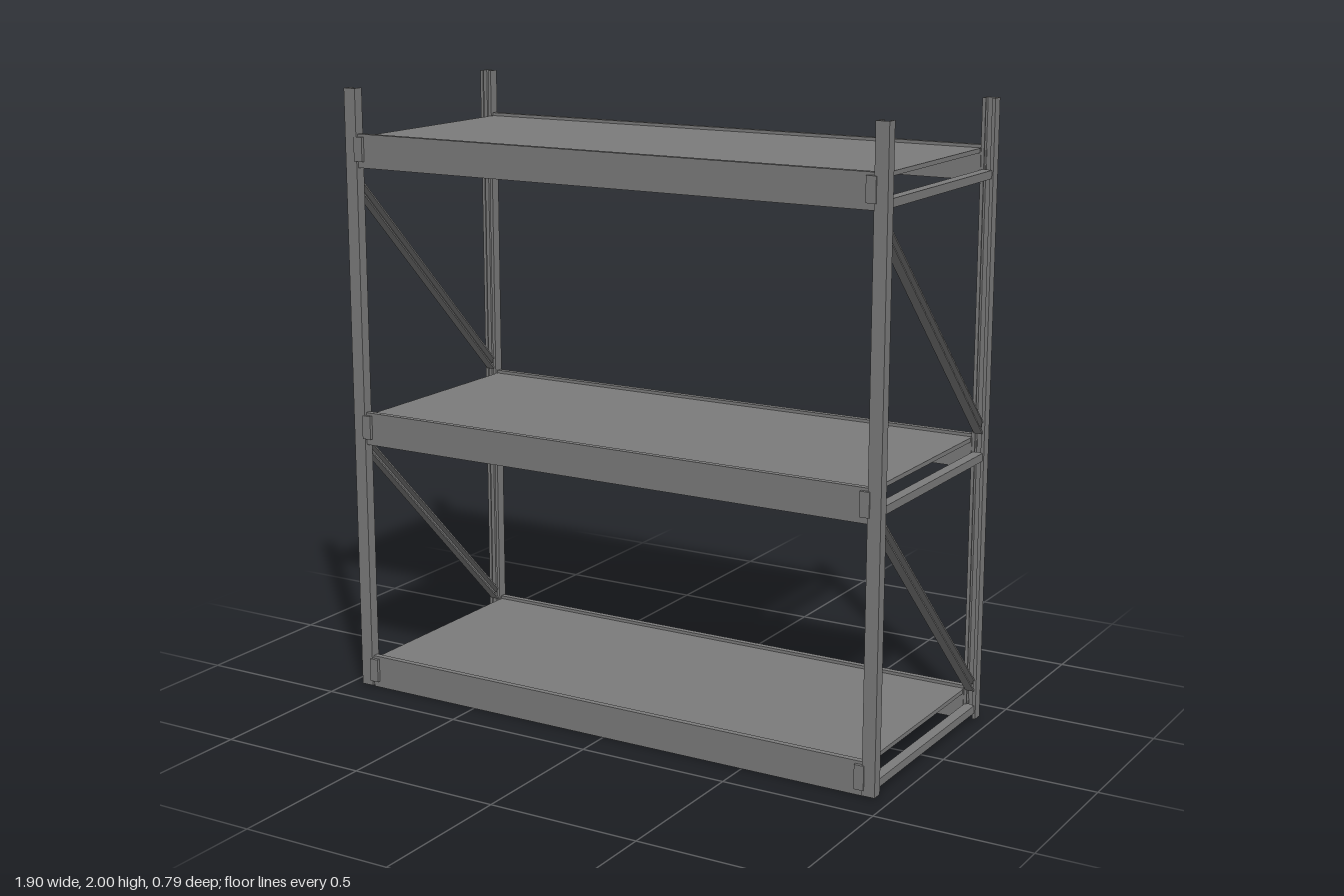
import * as THREE from 'three';

const material = new THREE.MeshStandardMaterial({ color: 0x7b7b7b });

function add(parent, name, geometry, x = 0, y = 0, z = 0) {
  const mesh = new THREE.Mesh(geometry, material);
  mesh.name = name;
  mesh.position.set(x, y, z);
  parent.add(mesh);
  return mesh;
}

// Extrudes a closed outline along z
function extrude(points, length) {
  const shape = new THREE.Shape(points.map(([x, y]) => new THREE.Vector2(x, y)));
  return new THREE.ExtrudeGeometry(shape, { depth: length, bevelEnabled: false });
}

// Channel of width w and depth d, web at y = 0, open towards +y, with optional inner lips
function channel(w, d, t, lip, length) {
  const h = w / 2;
  const edge = lip > 0 ? [[h - lip, d], [h - lip, d - t], [h - t, d - t]] : [[h - t, d]];
  const right = [[h, 0], [h, d], ...edge, [h - t, t]];
  const left = right.map(([x, y]) => [-x, y]).reverse();
  return extrude([...right, ...left], length);
}

const HALF_X = 0.931;  // centre line of the uprights
const POST_Z = 0.391;  // outer face of the uprights
const LEVELS = [0, 0.838, 1.748]; // underside of each shelf level
const BEAM_H = 0.108;
const OUTWARD = new THREE.Vector3(1, 0, 0);
const DOWN = new THREE.Vector3(0, -1, 0);

// Channel brace between two (y, z) points in a side frame, open towards a direction
function brace(parent, name, x, [y0, z0], [y1, z1], width, depth, open) {
  const a = new THREE.Vector3(x, y0, z0);
  const b = new THREE.Vector3(x, y1, z1);
  const geometry = channel(width, depth, 0.005, 0, a.distanceTo(b));
  geometry.translate(0, -depth / 2, 0);
  const dir = b.clone().sub(a).normalize();
  const across = new THREE.Vector3().crossVectors(open, dir);
  const mesh = add(parent, name, geometry, a.x, a.y, a.z);
  mesh.quaternion.setFromRotationMatrix(new THREE.Matrix4().makeBasis(across, open, dir));
}

function sideFrame(side) {
  const frame = new THREE.Group();
  frame.name = side > 0 ? 'leftFrame' : 'rightFrame';
  const x = side * HALF_X;

  // Uprights: lipped channels with their open sides facing each other
  for (const end of [1, -1]) {
    const geometry = channel(0.043, 0.036, 0.006, 0.011, 1.996);
    geometry.rotateX(-Math.PI / 2); // length up, open side to -z
    if (end < 0) geometry.rotateY(Math.PI);
    add(frame, end > 0 ? 'frontUpright' : 'backUpright', geometry, x, 0.004, end * POST_Z);
  }

  // Horizontal braces under each shelf
  for (const y of [0.037, 0.877, 1.768]) {
    brace(frame, 'horizontalBrace', x, [y, 0.362], [y, -0.362], 0.034, 0.026, DOWN);
  }
  // Diagonal braces, high at the front
  brace(frame, 'lowerDiagonalBrace', x, [0.838, 0.366], [0.108, -0.366], 0.03, 0.03, OUTWARD);
  brace(frame, 'upperDiagonalBrace', x, [1.695, 0.366], [0.962, -0.366], 0.03, 0.03, OUTWARD);
  return frame;
}

function shelfLevel(y) {
  const level = new THREE.Group();
  level.name = 'shelfLevel';
  level.position.y = y;

  // Deck, set a little below the beam tops
  add(level, 'shelfPanel', new THREE.BoxGeometry(1.816, 0.014, 0.73), 0, 0.091, 0);

  for (const end of [1, -1]) {
    // Step beam: raised outer lip and a ledge that carries the deck
    const profile = [[0.384, 0], [0.384, BEAM_H], [0.364, BEAM_H], [0.364, 0.084], [0.352, 0.084], [0.352, 0]];
    const geometry = extrude(profile, 1.816);
    geometry.translate(0, 0, -0.908);
    geometry.rotateY(-Math.PI / 2 * end); // profile x becomes the z direction
    add(level, end > 0 ? 'frontBeam' : 'backBeam', geometry);

    // End connectors hooked over the beam ends and the uprights
    for (const side of [1, -1]) {
      add(level, 'beamConnector', new THREE.BoxGeometry(0.032, 0.078, 0.012),
        side * 0.901, 0.06, end * 0.389);
      add(level, 'connectorPlate', new THREE.BoxGeometry(0.006, 0.078, 0.04),
        side * 0.908, 0.06, end * 0.372);
    }
  }
  return level;
}

export function createModel() {
  const model = new THREE.Group();
  model.name = 'storageRack';
  for (const side of [1, -1]) model.add(sideFrame(side));
  for (const y of LEVELS) model.add(shelfLevel(y));
  return model;
}
